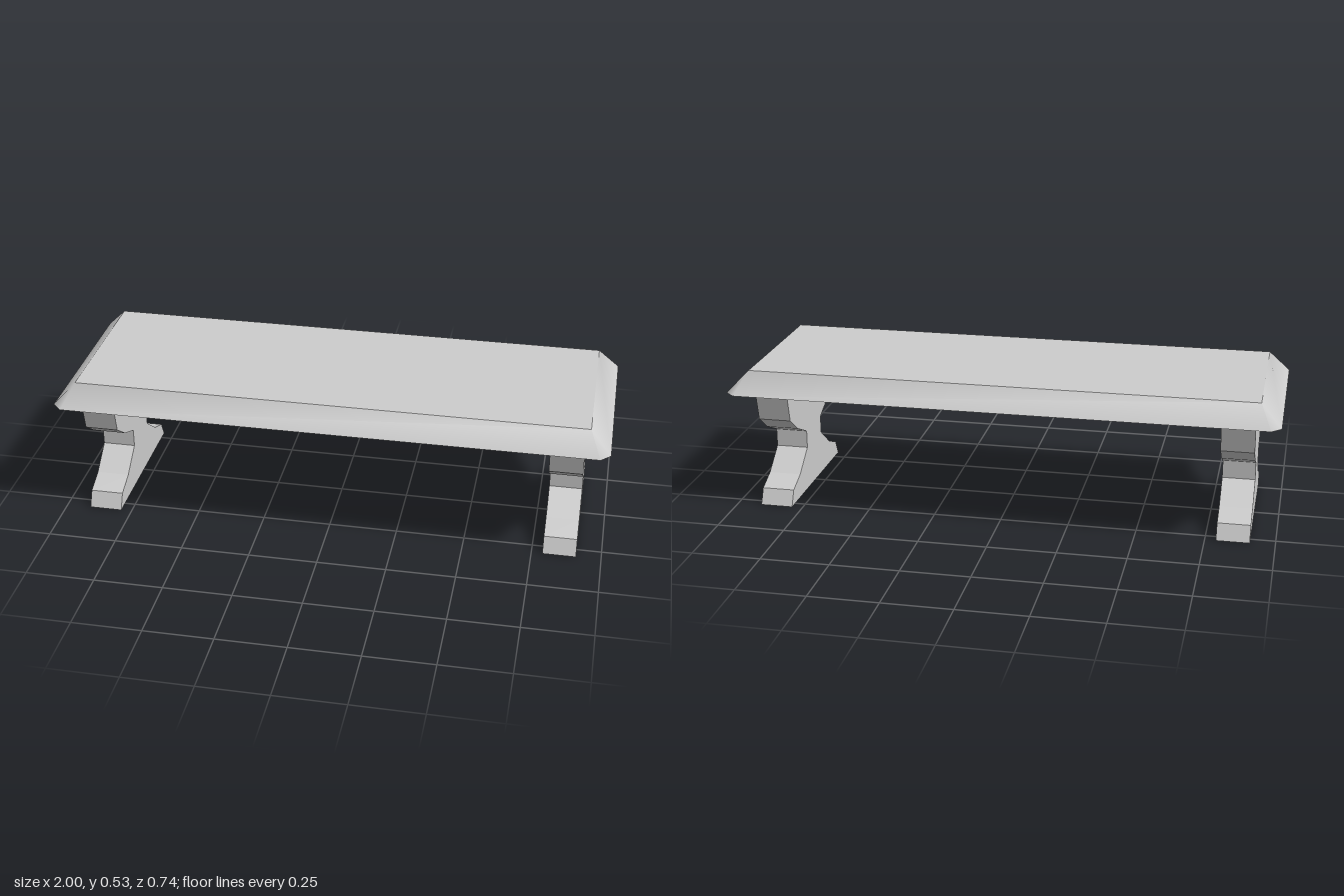
import * as THREE from 'three';

const Y_LOW = 0.455, Y_TOP = 0.533;

// Ring points run counterclockwise as seen from above.
const rim = [
  [0.965, 0.37], [1, 0.335], [1, -0.335], [0.965, -0.37],
  [-0.965, -0.37], [-1, -0.335], [-1, 0.335], [-0.965, 0.37],
].map(([x, z]) => [x, Y_LOW, z]);
const seat = [[0.925, 0.3], [0.925, -0.3], [-0.925, -0.3], [-0.925, 0.3]]
  .map(([x, z]) => [x, Y_TOP, z]);

function surface(points, index) {
  const g = new THREE.BufferGeometry();
  g.setAttribute('position', new THREE.Float32BufferAttribute(points.flat(), 3));
  g.setIndex(index);
  g.computeVertexNormals();
  return g;
}

// Triangle fan over a convex ring
function fan(count, flip) {
  const index = [];
  for (let i = 1; i < count - 1; i++) index.push(0, ...(flip ? [i + 1, i] : [i, i + 1]));
  return index;
}

// Sloping edge with clipped corners, shaded smoothly around the slab
function bevelGeometry() {
  const index = [];
  for (let i = 0; i < 4; i++) {
    const a = 2 * i, b = a + 1, c = (a + 2) % 8;
    const u = 8 + i, v = 8 + (i + 1) % 4;
    index.push(a, b, u, b, c, v, b, v, u);
  }
  return surface([...rim, ...seat], index);
}

// Trestle outline, stepped in to a narrow waist
function trestleGeometry() {
  const half = [
    [0.292, 0], [0.264, 0.057], [0.183, 0.089], [0.086, 0.162],
    [0.086, 0.229], [0.183, 0.273], [0.264, 0.332], [0.292, Y_LOW],
  ];
  const mirrored = half.map(([z, y]) => [-z, y]).reverse();
  const shape = new THREE.Shape([...half, ...mirrored]
    .map(([z, y]) => new THREE.Vector2(z + 0.006, y)));
  const g = new THREE.ExtrudeGeometry(shape, { depth: 0.12, bevelEnabled: false });
  g.translate(0, 0, -0.06);
  g.rotateY(-Math.PI / 2);
  return g;
}

export function createModel() {
  const bench = new THREE.Group();
  bench.name = 'bench';
  const grey = new THREE.MeshStandardMaterial({ color: 0xcccccc });
  grey.name = 'light grey';

  const add = (name, geometry, parent) => {
    const mesh = new THREE.Mesh(geometry, grey);
    mesh.name = name;
    parent.add(mesh);
    return mesh;
  };

  // Slab
  const slab = new THREE.Group();
  slab.name = 'benchTop';
  bench.add(slab);
  add('seatSurface', surface(seat, fan(4, false)), slab);
  add('bevelledEdge', bevelGeometry(), slab);
  add('underside', surface(rim, fan(8, true)), slab);

  // Legs
  const trestle = trestleGeometry();
  for (const [name, x] of [['leftLeg', 0.85], ['rightLeg', -0.85]]) {
    add(name, trestle, bench).position.x = x;
  }
  return bench;
}
